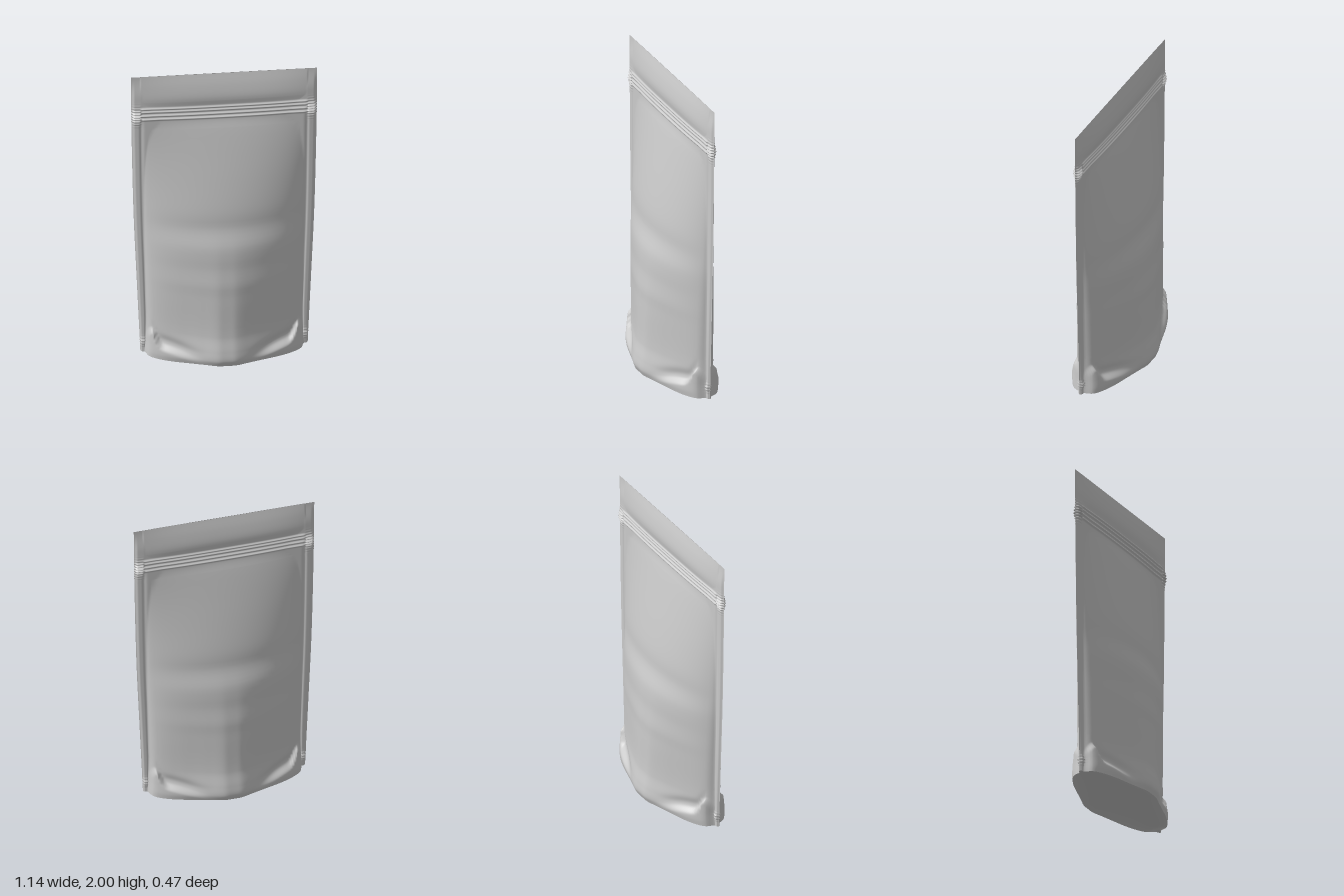
import * as THREE from 'three';

const material = new THREE.MeshStandardMaterial({ color: 0xcccccc, side: THREE.DoubleSide });

// Smooth interpolation through [position, value] knots
function curve(knots) {
  const slope = (i) => {
    const a = knots[Math.max(i - 1, 0)], b = knots[Math.min(i + 1, knots.length - 1)];
    return (b[1] - a[1]) / (b[0] - a[0]);
  };
  const slopes = knots.map((k, i) => slope(i));
  return (t) => {
    let i = 0;
    while (i < knots.length - 2 && t > knots[i + 1][0]) i++;
    const [x0, y0] = knots[i], [x1, y1] = knots[i + 1];
    const h = x1 - x0, s = THREE.MathUtils.clamp((t - x0) / h, 0, 1), r = 1 - s;
    return y0 * (1 + 2 * s) * r * r + y1 * s * s * (3 - 2 * s)
      + h * (slopes[i] * s * r * r - slopes[i + 1] * s * s * r);
  };
}

const smooth = THREE.MathUtils.smoothstep;
const bell = (t, centre, width) => Math.exp(-(((t - centre) / width) ** 2));

// Outer half width and centre half depth by height
const halfWidth = curve([[0, 0.512], [0.1, 0.516], [0.5, 0.533], [1, 0.553], [1.6, 0.566], [2, 0.57]]);
const halfDepth = curve([[0, 0.222], [0.04, 0.235], [0.1, 0.229], [0.2, 0.211], [0.45, 0.202],
  [0.65, 0.193], [0.8, 0.18], [0.93, 0.152], [1.08, 0.136], [1.25, 0.108], [1.45, 0.07],
  [1.6, 0.04], [1.68, 0.023], [1.77, 0.022], [1.84, 0.03], [1.92, 0.02], [2, 0.001]]);
const sealWidth = curve([[0, 0.025], [0.1, 0.035], [0.3, 0.045], [1.6, 0.058], [2, 0.06]]);

// Cross-section of the filled lower part, from centre to side seal
const lowSection = curve([[0, 1], [0.12, 0.99], [0.3, 0.86], [0.5, 0.69], [0.66, 0.55],
  [0.82, 0.39], [0.93, 0.24], [1, 0.06]]);

const BODY = 0.86; // share of the columns used by the body; the rest is side seal

// Point on the front panel for column s (-1..1) at height y
function panelPoint(s, y) {
  const a = Math.abs(s), side = Math.sign(s);
  const w = halfWidth(y), body = w - sealWidth(y), depth = halfDepth(y);
  const u = Math.min(a / BODY, 1), t = Math.max(0, (a - BODY) / (1 - BODY));
  const x = t > 0 ? body + (w - body) * t : body * u;

  // Filled body blends from the bulging base to a flatter upper section
  const upper = Math.pow(Math.max(0, 1 - u * u), 0.75);
  const section = THREE.MathUtils.lerp(lowSection(u), upper, smooth(y, 0.1, 1.1));
  const header = smooth(y, 1.62, 1.76);
  let z = THREE.MathUtils.lerp(depth * section, depth * (1 - 0.55 * u ** 3), header);

  // Side seal, thinning to its outer edge, with a pressed groove beside the body
  const sealHeight = 0.014 * (1 - smooth(y, 1.85, 2));
  if (t > 0) z = sealHeight * (1 - 0.35 * t) * (1 - smooth(t, 0.65, 1));
  else z = Math.max(z, sealHeight);
  z -= 0.006 * bell(a, BODY, 0.02) * (1 - header) * smooth(y, 0, 0.2);

  // Zip ridges
  const across = 1 - smooth(a, BODY - 0.02, BODY + 0.02);
  for (const ridge of [1.695, 1.722, 1.75, 1.772]) z += 0.008 * bell(y, ridge, 0.007) * across;

  // Crushed ends of the zip and of the base seal
  const crush = smooth(a, BODY - 0.01, BODY + 0.02) * (1 - smooth(a, 0.96, 1));
  z += 0.007 * crush * (1 + Math.sin(y * 330)) * (bell(y, 1.72, 0.045) + bell(y, 0.075, 0.025));

  // Gusset hem with raised corner folds
  const hem = 0.035 + 0.06 * smooth(x, 0.1, 0.42) + 0.1 * bell(x, 0.448, 0.032);
  const below = 1 - smooth(y, hem - 0.035, hem + 0.012);
  z += 0.024 * below * smooth(x, 0.08, 0.4) * (1 - smooth(u, 0.96, 1));
  z -= 0.014 * bell(y, hem + 0.03, 0.035) * smooth(x, 0.1, 0.3) * (1 - smooth(x, 0.38, 0.46));

  // Soft horizontal creases in the film
  z += 0.003 * (1 - u * u) * (bell(y, 0.56, 0.04) - bell(y, 0.68, 0.05) + bell(y, 0.84, 0.05) - bell(y, 0.96, 0.04));

  const edgeRipple = 0.002 * t * Math.sin(y * 330) * (bell(y, 1.72, 0.045) + bell(y, 0.075, 0.025));
  return [side * (x + edgeRipple), y, Math.max(z, 0)];
}

// Grid surface over columns and rows
function gridMesh(name, columns, rows, point, flip = false) {
  const positions = [], index = [], n = columns.length;
  for (const v of rows) for (const u of columns) positions.push(...point(u, v));
  for (let j = 0; j < rows.length - 1; j++) {
    for (let i = 0; i < n - 1; i++) {
      const a = j * n + i, b = a + 1, c = a + n, d = c + 1;
      if (flip) index.push(a, d, b, a, c, d);
      else index.push(a, b, d, a, d, c);
    }
  }
  const geometry = new THREE.BufferGeometry();
  geometry.setAttribute('position', new THREE.Float32BufferAttribute(positions, 3));
  geometry.setIndex(index);
  geometry.computeVertexNormals();
  const mesh = new THREE.Mesh(geometry, material);
  mesh.name = name;
  return mesh;
}

const steps = (from, to, count) => Array.from({ length: count }, (_, i) => from + (to - from) * i / count);

export function createModel() {
  const pouch = new THREE.Group();
  pouch.name = 'standUpPouch';

  const columns = [...steps(-1, -0.78, 22), ...steps(-0.78, 0.78, 64), ...steps(0.78, 1, 22), 1];
  const heights = [...steps(0, 0.26, 40), ...steps(0.26, 1.62, 44), ...steps(1.62, 1.82, 70),
    ...steps(1.82, 2, 12), 2];

  // Front and back film panels
  pouch.add(gridMesh('frontPanel', columns, heights, panelPoint));
  pouch.add(gridMesh('backPanel', columns, heights, (s, y) => {
    const [x, py, z] = panelPoint(s, y);
    return [x, py, -z];
  }, true));

  // Bottom gusset, slightly hollow between the two hems
  const strips = [...steps(-1, 1, 24), 1];
  pouch.add(gridMesh('bottomGusset', columns, strips, (s, v) => {
    const [x, , z] = panelPoint(s, 0);
    const lift = 0.04 * (1 - v * v) * Math.min(1, z / 0.15);
    return [x, lift, z * v];
  }));

  return pouch;
}
